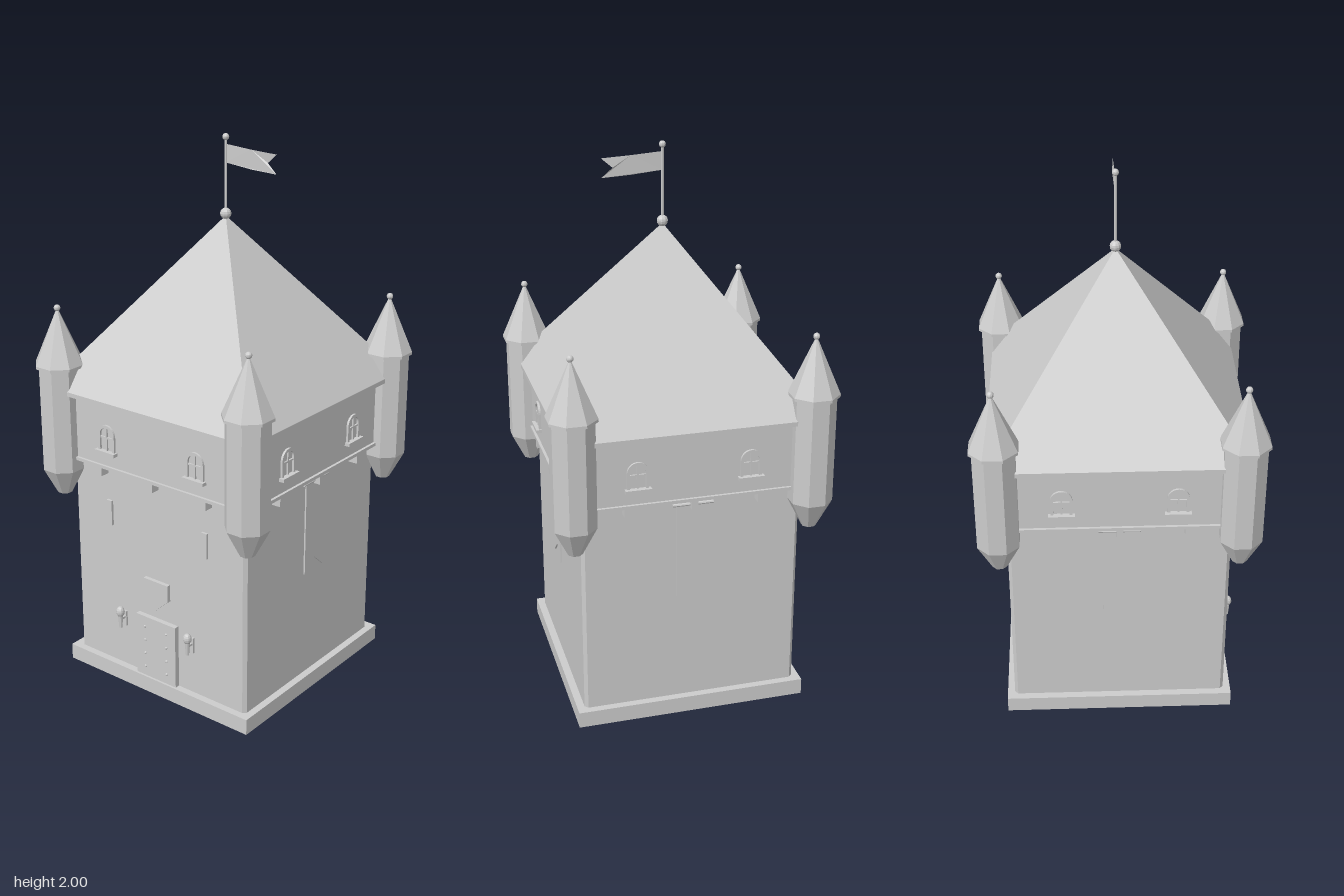
import * as THREE from 'three';

const stone = new THREE.MeshStandardMaterial({ color: 0xcccccc, flatShading: true, side: THREE.DoubleSide });
stone.name = 'stone grey';

function add(parent, name, geo, x = 0, y = 0, z = 0) {
  const m = new THREE.Mesh(geo, stone);
  m.name = name;
  m.position.set(x, y, z);
  parent.add(m);
  return m;
}
const box = (w, h, d) => new THREE.BoxGeometry(w, h, d);
const ball = (r) => new THREE.SphereGeometry(r, 10, 8);
// eight-sided drum with flats facing the axes, sized by its apothem
const octagon = (top, bottom, h) => {
  const k = Math.cos(Math.PI / 8);
  return new THREE.CylinderGeometry(top / k, bottom / k, h, 8).rotateY(Math.PI / 8);
};
const plate = (points, depth) => new THREE.ExtrudeGeometry(
  new THREE.Shape(points.map(([x, y]) => new THREE.Vector2(x, y))), { depth, bevelEnabled: false });

// arched outline standing on y = 0
function arch(path, r, h) {
  path.moveTo(-r, 0);
  path.lineTo(r, 0);
  path.lineTo(r, h);
  path.absarc(0, h, r, 0, Math.PI, false);
  path.lineTo(-r, 0);
  return path;
}

function makeWindow() {
  const g = new THREE.Group();
  g.name = 'archedWindow';
  const frame = arch(new THREE.Shape(), 0.038, 0.06);
  frame.holes.push(arch(new THREE.Path(), 0.028, 0.06));
  add(g, 'windowFrame', new THREE.ExtrudeGeometry(frame, { depth: 0.008, bevelEnabled: false, curveSegments: 8 }));
  add(g, 'windowMullion', box(0.006, 0.09, 0.006), 0, 0.045, 0.003);
  add(g, 'windowCrossbar', box(0.06, 0.006, 0.006), 0, 0.05, 0.003);
  add(g, 'windowSill', box(0.092, 0.012, 0.024), 0, -0.004, 0.008);
  return g;
}

function makeTurret() {
  const g = new THREE.Group();
  g.name = 'cornerTurret';
  add(g, 'turretFoot', octagon(0.073, 0.025, 0.1), 0, 0.755);
  add(g, 'turretShaft', octagon(0.073, 0.073, 0.39), 0, 1.0);
  add(g, 'turretEave', octagon(0.083, 0.083, 0.01), 0, 1.197);
  add(g, 'turretRoof', octagon(0.003, 0.083, 0.198), 0, 1.301);
  add(g, 'turretFinial', ball(0.012), 0, 1.405);
  return g;
}

function makeBanner() {
  const g = new THREE.Group();
  g.name = 'wallBanner';
  const cloth = [[-0.057, 0.83], [-0.057, 0.475], [0, 0.525], [0.057, 0.475], [0.057, 0.83]];
  add(g, 'bannerCloth', plate(cloth, 0.006), 0, 0, 0.398);
  const rod = add(g, 'bannerRod', new THREE.CylinderGeometry(0.006, 0.006, 0.146, 8), 0, 0.83, 0.403);
  rod.rotation.z = Math.PI / 2;
  return g;
}

function makeTorch() {
  const g = new THREE.Group();
  g.name = 'wallTorch';
  add(g, 'torchBracket', box(0.014, 0.06, 0.012), 0, 0.255, 0.395);
  add(g, 'torchArm', box(0.008, 0.008, 0.035), 0, 0.262, 0.41);
  add(g, 'torchHandle', new THREE.CylinderGeometry(0.01, 0.006, 0.06, 8), 0, 0.258, 0.424);
  add(g, 'torchFlame', ball(0.016).scale(1, 1.3, 1), 0, 0.293, 0.424);
  return g;
}

export function createModel() {
  const model = new THREE.Group();
  model.name = 'castleKeep';

  // open-bottomed plinth
  const base = box(0.84, 0.06, 0.84);
  const idx = Array.from(base.index.array);
  idx.splice(18, 6);
  base.setIndex(idx);
  base.clearGroups();
  add(model, 'plinth', base, 0, 0.03);

  // main shaft with slightly chamfered corners
  const w = 0.393, c = 0.381;
  const body = plate([[-c, -w], [c, -w], [w, -c], [w, c], [c, w], [-c, w], [-w, c], [-w, -c]], 0.8);
  add(model, 'keepWalls', body.rotateX(-Math.PI / 2), 0, 0.06);

  // overhanging storey, eaves and roof
  add(model, 'upperStorey', box(0.84, 0.25, 0.84), 0, 0.98);
  add(model, 'lowerBand', box(0.86, 0.012, 0.86), 0, 0.856);
  add(model, 'eaves', box(0.912, 0.016, 0.912), 0, 1.108);
  const roof = new THREE.ConeGeometry(0.456 * Math.SQRT2, 0.6, 4).rotateY(Math.PI / 4);
  add(model, 'mainRoof', roof, 0, 1.416);

  // repeated details on each side and corner
  for (let i = 0; i < 4; i++) {
    const side = new THREE.Group();
    side.name = 'wallSide';
    side.rotation.y = i * Math.PI / 2;
    for (const x of [-0.2, 0.2]) {
      const win = makeWindow();
      win.position.set(x, 0.92, 0.42);
      side.add(win);
    }
    for (const x of [-0.237, 0, 0.237]) add(side, 'corbel', box(0.022, 0.036, 0.04), x, 0.836, 0.408);
    if (i > 0) side.add(makeBanner());
    const turret = makeTurret();
    turret.position.set(0.42, 0, 0.42);
    side.add(turret);
    model.add(side);
  }

  // door with studs
  add(model, 'door', box(0.184, 0.245, 0.024), 0, 0.183, 0.4);
  for (const x of [-0.05, 0.05])
    for (let j = 0; j < 4; j++) add(model, 'doorStud', ball(0.005), x, 0.1 + j * 0.055, 0.412);

  // shield above the door
  const shield = [[-0.056, 0.46], [-0.056, 0.395], [0, 0.345], [0.056, 0.395], [0.056, 0.46]];
  add(model, 'shield', plate(shield, 0.016), 0, 0, 0.392);

  // slits and torches either side of the door
  for (const s of [-1, 1]) {
    add(model, 'arrowSlit', box(0.024, 0.096, 0.016), s * 0.219, 0.668, 0.394);
    const torch = makeTorch();
    torch.position.x = s * 0.159;
    model.add(torch);
  }

  // flagpole and swallowtail flag
  add(model, 'roofFinial', ball(0.02), 0, 1.724);
  add(model, 'flagPole', new THREE.CylinderGeometry(0.005, 0.005, 0.26, 8), 0, 1.85);
  add(model, 'poleTop', ball(0.012), 0, 1.988);
  const flag = new THREE.ShapeGeometry(new THREE.Shape([[0, 1.9], [0.11, 1.889], [0.214, 1.884], [0.175, 1.918],
    [0.214, 1.951], [0.11, 1.956], [0, 1.964]].map(([x, y]) => new THREE.Vector2(x, y))));
  const p = flag.attributes.position;
  for (let i = 0; i < p.count; i++) p.setZ(i, 0.005 * Math.sin(p.getX(i) * 28));
  flag.computeVertexNormals();
  add(model, 'flag', flag);

  return model;
}
